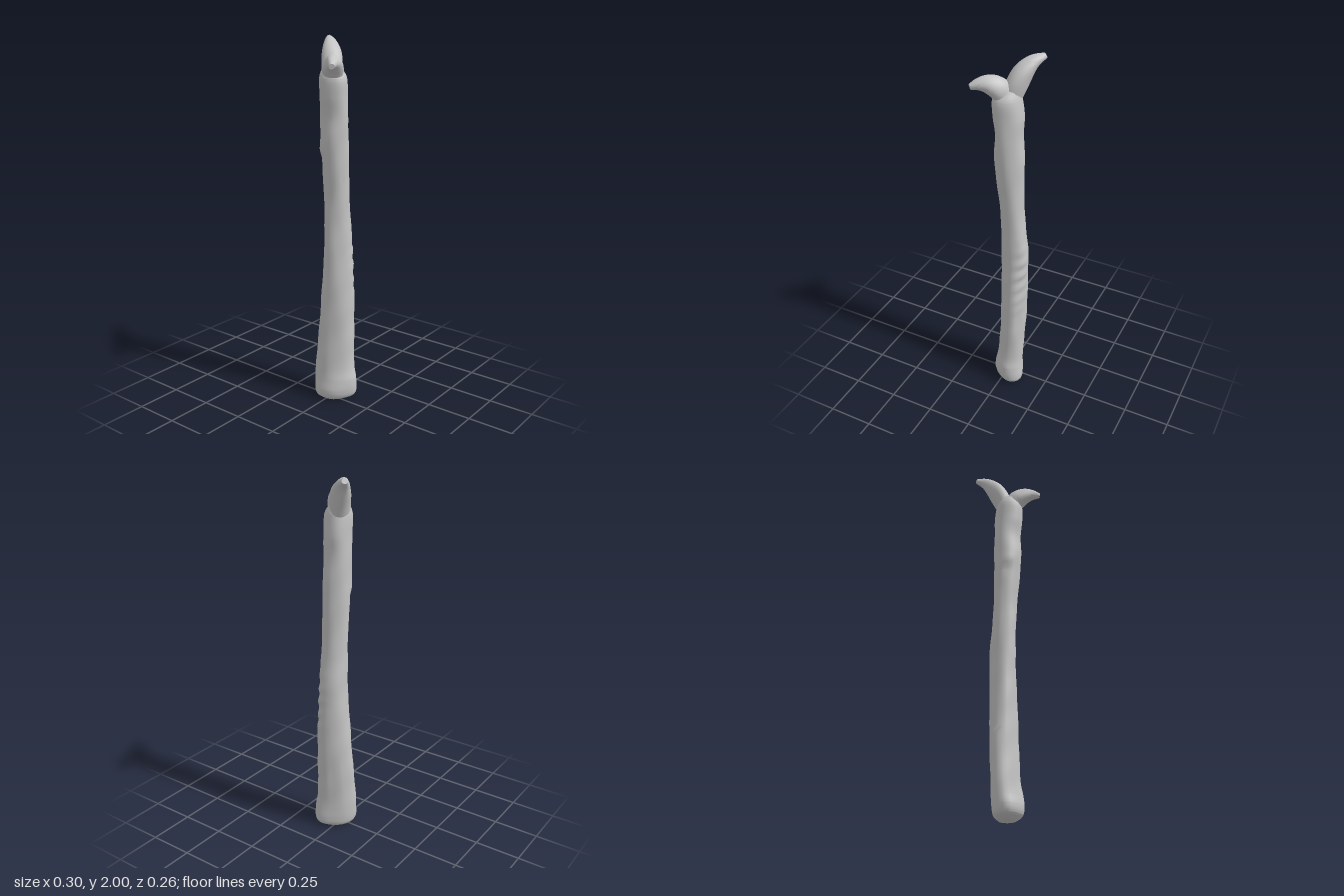
import * as THREE from 'three';
import { toCreasedNormals } from 'three/addons/utils/BufferGeometryUtils.js';

const SIDES = 24;

// Skin a list of closed rings (each SIDES points) and cap both ends
function loft(rings, crease = 0.75) {
  const pos = [], idx = [];
  rings.forEach(r => r.forEach(p => pos.push(p.x, p.y, p.z)));
  for (let j = 0; j < rings.length - 1; j++) {
    for (let i = 0; i < SIDES; i++) {
      const a = j * SIDES + i, b = j * SIDES + (i + 1) % SIDES;
      idx.push(a, a + SIDES, b, b, a + SIDES, b + SIDES);
    }
  }
  [0, rings.length - 1].forEach((j, end) => {
    const c = new THREE.Vector3();
    rings[j].forEach(p => c.addScaledVector(p, 1 / SIDES));
    const k = pos.length / 3;
    pos.push(c.x, c.y, c.z);
    for (let i = 0; i < SIDES; i++) {
      const a = j * SIDES + i, b = j * SIDES + (i + 1) % SIDES;
      if (end) idx.push(a, k, b); else idx.push(a, b, k);
    }
  });
  const g = new THREE.BufferGeometry();
  g.setAttribute('position', new THREE.Float32BufferAttribute(pos, 3));
  g.setIndex(idx);
  return toCreasedNormals(g, crease);
}

// Soft bump, 1 at the middle and fading to 0
const bump = (v, mid, width) => Math.exp(-(((v - mid) / width) ** 2));
const angleGap = (a, b) => Math.atan2(Math.sin(a - b), Math.cos(a - b));

// Relative change of radius: waviness, bark hollows, groove and knot
function bark(a, y) {
  let k = 0.02 * Math.sin(3 * a + 5 * y) + 0.015 * Math.sin(5 * a - 9 * y + 1)
    + 0.012 * Math.sin(2 * a + 31 * y);
  // stacked hollows on the front-right side
  const front = bump(angleGap(a, 0.7), 0, 0.5);
  k += front * bump(y, 0.76, 0.16) * (0.07 * Math.sin(y * 80 + 2 * a) - 0.04);
  k -= 0.1 * bump(angleGap(a, 0.75), 0, 0.25) * bump(y, 0.45, 0.1);
  // long groove in the lower right side
  k -= 0.13 * bump(angleGap(a, -0.45), 0, 0.2) * bump(y, 0.34, 0.16);
  // small knot at the back
  k -= 0.14 * bump(angleGap(a, -2.35), 0, 0.28) * bump(y, 1.37, 0.03);
  k += 0.06 * bump(angleGap(a, -2.35), 0, 0.4) * bump(y, 1.42, 0.03);
  return 1 + k;
}

function trunkGeometry() {
  // y, then x from-to and z from-to
  const spans = [
    [0.00, -0.045, 0.085, -0.05, 0.085],
    [0.02, -0.068, 0.11, -0.075, 0.118],
    [0.06, -0.075, 0.115, -0.086, 0.13],
    [0.12, -0.065, 0.112, -0.088, 0.128],
    [0.20, -0.056, 0.11, -0.088, 0.112],
    [0.40, -0.042, 0.12, -0.082, 0.107],
    [0.60, -0.035, 0.125, -0.07, 0.1],
    [0.80, -0.03, 0.128, -0.058, 0.088],
    [0.92, -0.031, 0.125, -0.056, 0.082],
    [1.05, -0.031, 0.107, -0.055, 0.079],
    [1.20, -0.036, 0.096, -0.055, 0.081],
    [1.45, -0.061, 0.092, -0.061, 0.088],
    [1.60, -0.056, 0.082, -0.063, 0.09],
    [1.70, -0.069, 0.083, -0.062, 0.09],
    [1.79, -0.073, 0.072, -0.06, 0.088],
    [1.84, -0.05, 0.055, -0.05, 0.06],
  ];
  const low = new THREE.CatmullRomCurve3(
    spans.map(([y, x0, , z0]) => new THREE.Vector3(x0, y, z0)), false, 'catmullrom');
  const high = new THREE.CatmullRomCurve3(
    spans.map(([y, , x1, , z1]) => new THREE.Vector3(x1, y, z1)), false, 'catmullrom');
  const rings = [], rows = 150;
  for (let j = 0; j <= rows; j++) {
    const p = low.getPoint(j / rows), q = high.getPoint(j / rows), y = p.y;
    const skew = 0.19 * Math.max(-0.15, 1 - y / 1.4); // lower trunk is oval along the diagonal
    rings.push(Array.from({ length: SIDES }, (_, i) => {
      const a = i / SIDES * Math.PI * 2, k = bark(a, y) / 2;
      return new THREE.Vector3(
        (p.x + q.x) / 2 + (q.x - p.x) * k * Math.cos(a - skew),
        Math.max(0, y),
        (p.z + q.z) / 2 + (q.z - p.z) * k * Math.sin(a + skew));
    }));
  }
  return loft(rings);
}

// Tapered stub along a path of [x, y, z, radius]
function prongGeometry(points) {
  const path = new THREE.CatmullRomCurve3(points.map(p => new THREE.Vector3(p[0], p[1], p[2])));
  const size = new THREE.CatmullRomCurve3(
    points.map((p, i) => new THREE.Vector3(p[3], i, 0)), false, 'catmullrom');
  const side = new THREE.Vector3(1, 0, 1).normalize();
  const rings = [], rows = 20;
  for (let j = 0; j <= rows; j++) {
    const t = j / rows, c = path.getPoint(t), r = size.getPoint(t).x;
    const n = path.getTangent(t).cross(side).normalize();
    rings.push(Array.from({ length: SIDES }, (_, i) => {
      const a = i / SIDES * Math.PI * 2;
      const k = r * (1 + 0.05 * Math.sin(3 * a + 4 * t));
      return c.clone().addScaledVector(n, k * Math.cos(a)).addScaledVector(side, k * Math.sin(a));
    }));
  }
  return loft(rings);
}

export function createModel() {
  const group = new THREE.Group();
  group.name = 'forkedPost';
  const wood = new THREE.MeshStandardMaterial({ color: 0xc4c4c4 });
  wood.name = 'paleGrey';

  const add = (name, geometry) => {
    const mesh = new THREE.Mesh(geometry, wood);
    mesh.name = name;
    group.add(mesh);
  };

  add('trunk', trunkGeometry());
  add('tallProng', prongGeometry([
    [0.015, 1.80, -0.005, 0.05], [0.035, 1.86, -0.02, 0.054], [0.06, 1.915, -0.045, 0.05],
    [0.095, 1.96, -0.08, 0.034], [0.138, 1.985, -0.12, 0.014],
  ]));
  add('shortProng', prongGeometry([
    [-0.01, 1.80, 0.02, 0.05], [-0.035, 1.845, 0.04, 0.055], [-0.07, 1.868, 0.068, 0.047],
    [-0.105, 1.872, 0.092, 0.032], [-0.145, 1.862, 0.117, 0.014],
  ]));
  return group;
}
